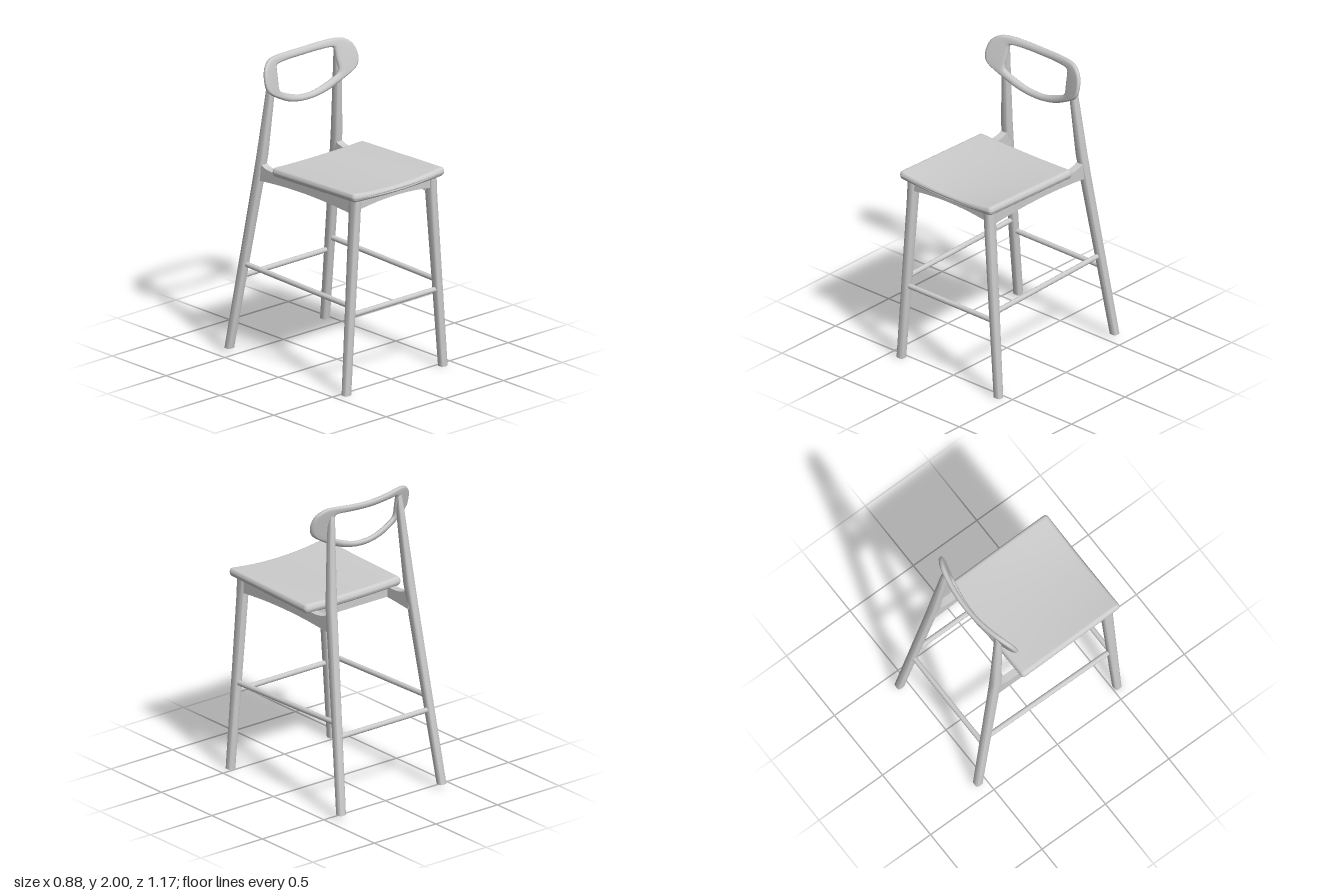
import * as THREE from 'three';
import { mergeVertices, toCreasedNormals } from 'three/addons/utils/BufferGeometryUtils.js';

// Skin rows of points into a surface; every row is a closed loop.
function skin(rows, ring) {
  const n = rows[0].length, pos = rows.flat(2), idx = [];
  const last = ring ? rows.length : rows.length - 1;
  for (let i = 0; i < last; i++) {
    const k = (i + 1) % rows.length;
    for (let j = 0; j < n; j++) {
      const m = (j + 1) % n;
      const a = i * n + j, b = i * n + m, c = k * n + m, d = k * n + j;
      idx.push(a, d, b, b, d, c);
    }
  }
  if (!ring) { // end caps
    const top = (rows.length - 1) * n;
    for (let j = 1; j < n - 1; j++) idx.push(0, j, j + 1, top, top + j + 1, top + j);
  }
  const g = new THREE.BufferGeometry();
  g.setAttribute('position', new THREE.Float32BufferAttribute(pos, 3));
  g.setIndex(idx);
  g.computeVertexNormals();
  return g;
}

// Tapered leg through sections [x, y, z, halfWidth, halfDepth] with rounded corners.
function legGeometry(sections, side) {
  const soft = v => Math.sign(v) * Math.abs(v) ** 0.55;
  const rows = sections.map(([x, y, z, w, d]) => Array.from({ length: 20 }, (_, j) => {
    const a = (j / 20) * Math.PI * 2;
    return [side * x + w * soft(Math.cos(a)), y, z + d * soft(Math.sin(a))];
  }));
  return toCreasedNormals(skin(rows, false), 0.9);
}

// Cushion slab with rounded edges, dished towards the front.
function seatGeometry() {
  const half = [0.39, 0.031, 0.388], r = 0.028;
  const g = new THREE.BoxGeometry(2, 2, 2, 24, 12, 24);
  g.deleteAttribute('uv');
  g.deleteAttribute('normal');
  const p = g.attributes.position;
  for (let i = 0; i < p.count; i++) {
    const inner = new THREE.Vector3(), off = new THREE.Vector3();
    for (let k = 0; k < 3; k++) {
      const u = p.getComponent(i, k), a = Math.abs(u), s = Math.sign(u);
      inner.setComponent(k, s * (half[k] - r) * Math.min(1, a * 1.5));
      off.setComponent(k, s * Math.max(0, a * 3 - 2));
    }
    const v = inner.add(off.normalize().multiplyScalar(r));
    const front = (v.z + half[2]) / (2 * half[2]);
    const bow = 1 - (v.x / half[0]) ** 2;
    const dip = THREE.MathUtils.lerp(0.008, v.y > 0 ? 0.032 : 0.014, front);
    p.setXYZ(i, v.x, v.y + 1.293 + 0.023 * front - dip * bow, v.z + 0.197);
  }
  const m = mergeVertices(g);
  m.computeVertexNormals();
  return m;
}

// Curved, leaning back ring: matching points of outline and opening.
function backrestGeometry() {
  const halfPairs = [
    [0, 1.992, 0, 1.942], [0.15, 1.997, 0.13, 1.945], [0.27, 2.0, 0.215, 1.948],
    [0.33, 1.986, 0.24, 1.943], [0.378, 1.945, 0.248, 1.922], [0.396, 1.875, 0.252, 1.86],
    [0.377, 1.81, 0.256, 1.803], [0.3, 1.755, 0.235, 1.772], [0.18, 1.696, 0.15, 1.735],
    [0.08, 1.671, 0.07, 1.712], [0, 1.665, 0, 1.707],
  ];
  const mirrored = halfPairs.slice(1, -1).reverse().map(([a, b, c, d]) => [-a, b, -c, d]);
  const pairs = [...halfPairs, ...mirrored];
  const curve = k => new THREE.CatmullRomCurve3(
    pairs.map(q => new THREE.Vector3(q[k], q[k + 1], 0)), true, 'catmullrom', 0.5);
  const outer = curve(0), inner = curve(2), h = 0.017, rows = [];
  for (let i = 0; i < 120; i++) {
    const o = outer.getPoint(i / 120), n = inner.getPoint(i / 120);
    const w = o.distanceTo(n), r = Math.min(0.02, w * 0.38);
    const section = [
      [w - r, h], [r, h], [r * 0.3, h * 0.7], [0, 0], [r * 0.3, -h * 0.7],
      [r, -h], [w - r, -h], [w - r * 0.3, -h * 0.7], [w, 0], [w - r * 0.3, h * 0.7],
    ];
    rows.push(section.map(([d, z]) => {
      const v = o.clone().lerp(n, d / w);
      return [v.x, v.y, z - 0.27 - 0.23 * (v.y - 1.67) + 0.5 * v.x * v.x];
    }));
  }
  return skin(rows, true);
}

// Board extruded from a shape and centred on its thickness.
function board(shape, depth) {
  const g = new THREE.ExtrudeGeometry(shape, { depth, bevelEnabled: false, curveSegments: 16 });
  return g.translate(0, 0, -depth / 2);
}

export function createModel() {
  const model = new THREE.Group();
  model.name = 'barChair';
  const grey = new THREE.MeshStandardMaterial({ color: 0xcccccc });
  grey.name = 'light grey';
  const add = (name, geometry) => {
    const mesh = new THREE.Mesh(geometry, grey);
    mesh.name = name;
    model.add(mesh);
    return mesh;
  };
  const rod = (name, a, b) => {
    const from = new THREE.Vector3(...a), dir = new THREE.Vector3(...b).sub(from);
    const mesh = add(name, new THREE.CylinderGeometry(0.017, 0.017, dir.length(), 16));
    mesh.position.copy(from).addScaledVector(dir, 0.5);
    mesh.quaternion.setFromUnitVectors(new THREE.Vector3(0, 1, 0), dir.normalize());
  };

  add('seat', seatGeometry());
  add('backrest', backrestGeometry());

  // Side rail outline, drawn in (z, y)
  const rail = new THREE.Shape();
  rail.moveTo(0.5, 1.185);
  rail.lineTo(0.5, 1.285);
  rail.lineTo(-0.2, 1.268);
  rail.quadraticCurveTo(-0.31, 1.268, -0.335, 1.3);
  rail.lineTo(-0.37, 1.3);
  rail.lineTo(-0.37, 1.18);
  rail.quadraticCurveTo(0.07, 1.23, 0.5, 1.185);

  for (const side of [1, -1]) {
    const label = side > 0 ? 'left' : 'right';
    add(label + 'FrontLeg', legGeometry([
      [0.411, 0, 0.534, 0.027, 0.025], [0.328, 1.15, 0.518, 0.028, 0.037],
      [0.321, 1.285, 0.517, 0.028, 0.039],
    ], side));
    add(label + 'RearLeg', legGeometry([
      [0.408, 0.03, -0.558, 0.027, 0.026], [0.326, 1.2, -0.373, 0.029, 0.033],
      [0.316, 1.35, -0.35, 0.031, 0.033], [0.288, 1.74, -0.313, 0.023, 0.027],
      [0.279, 1.86, -0.305, 0.02, 0.023], [0.273, 1.94, -0.304, 0.016, 0.011],
    ], side));
    add(label + 'SideRail', board(rail, 0.05).rotateY(-Math.PI / 2).translate(side * 0.32, 0, 0));
    rod(label + 'Stretcher', [side * 0.37, 0.58, 0.52], [side * 0.367, 0.607, -0.465]);
  }

  // Cross rails under the seat
  const apron = new THREE.Shape();
  apron.moveTo(-0.31, 1.212);
  apron.quadraticCurveTo(0, 1.26, 0.31, 1.212);
  apron.lineTo(0.31, 1.28);
  apron.lineTo(-0.31, 1.28);
  add('frontApron', board(apron, 0.04).translate(0, 0, 0.52));
  add('rearCrossRail', new THREE.BoxGeometry(0.61, 0.07, 0.04).translate(0, 1.236, -0.14));

  // Foot bars
  rod('frontStretcher', [-0.37, 0.52, 0.527], [0.37, 0.52, 0.527]);
  rod('rearStretcher', [-0.37, 0.52, -0.483], [0.37, 0.52, -0.483]);
  return model;
}
